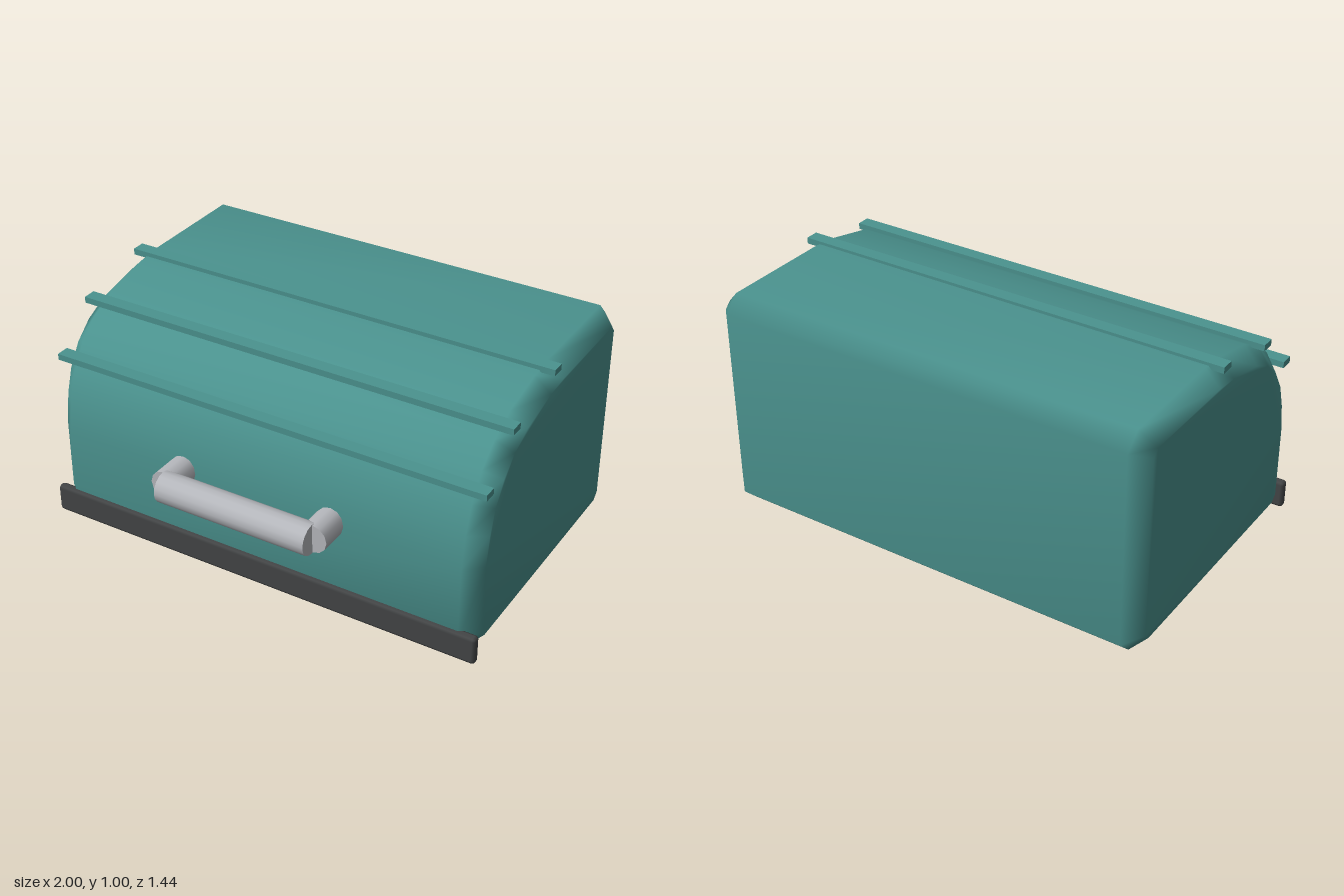
import * as THREE from 'three';
import { mergeVertices } from 'three/addons/utils/BufferGeometryUtils.js';
import { RoundedBoxGeometry } from 'three/addons/geometries/RoundedBoxGeometry.js';

function material(name, color) {
  const m = new THREE.MeshStandardMaterial({ color });
  m.name = name;
  return m;
}

export function createModel() {
  const group = new THREE.Group();
  group.name = 'breadBox';
  const teal = material('teal enamel', 0x4b938f);
  const steel = material('steel', 0xb6b8bd);
  const dark = material('dark trim', 0x434546);

  const add = (name, geometry, mat, x, y, z) => {
    const mesh = new THREE.Mesh(geometry, mat);
    mesh.name = name;
    mesh.position.set(x, y, z);
    group.add(mesh);
    return mesh;
  };

  // Body: side profile (z, y) with a rolled front, chamfered on both ends
  const profile = [
    [0.455, 0.003], [0.523, 0.07], [0.523, 0.42], [0.502, 0.56], [0.464, 0.68],
    [0.395, 0.79], [0.3, 0.873], [0.18, 0.932], [-0.03, 0.978], [-0.15, 0.99],
    [-0.65, 0.99], [-0.718, 0.922], [-0.718, 0.07], [-0.65, 0.003],
  ];
  const bevel = 0.068;
  const width = 1.97;
  const shape = new THREE.Shape(profile.map(([z, y]) => new THREE.Vector2(z, y)));
  let body = new THREE.ExtrudeGeometry(shape, {
    depth: width - 2 * bevel, bevelEnabled: true, bevelSegments: 1,
    bevelThickness: bevel, bevelSize: bevel, bevelOffset: -bevel,
  });
  body.translate(0, 0, -(width / 2 - bevel));
  body.rotateY(-Math.PI / 2);
  // Share vertices so the whole shell shades smoothly
  body.deleteAttribute('uv');
  body.deleteAttribute('normal');
  body.clearGroups();
  body = mergeVertices(body, 1e-4);
  body.computeVertexNormals();
  add('body', body, teal, 0, 0, 0);

  // Ribs across the rolled lid
  [[0.74, 0.45], [0.914, 0.25], [0.987, -0.098]].forEach(([y, z], i) => {
    add('lidRib' + (i + 1), new THREE.BoxGeometry(1.965, 0.027, 0.058), teal, 0, y, z);
  });

  // Trim strip along the bottom front edge
  add('baseTrim', new RoundedBoxGeometry(2, 0.125, 0.04, 1, 0.015), dark, 0, 0.065, 0.52);

  // Handle: horizontal bar on two posts
  const bar = add('handleBar', new THREE.CylinderGeometry(0.067, 0.067, 0.69, 16), steel, 0, 0.423, 0.652);
  bar.rotation.z = Math.PI / 2;
  for (const side of [-1, 1]) {
    const post = add(side > 0 ? 'leftHandlePost' : 'rightHandlePost',
      new THREE.CylinderGeometry(0.063, 0.063, 0.14, 12), steel, side * 0.345, 0.423, 0.577);
    post.rotation.x = Math.PI / 2;
  }
  return group;
}
